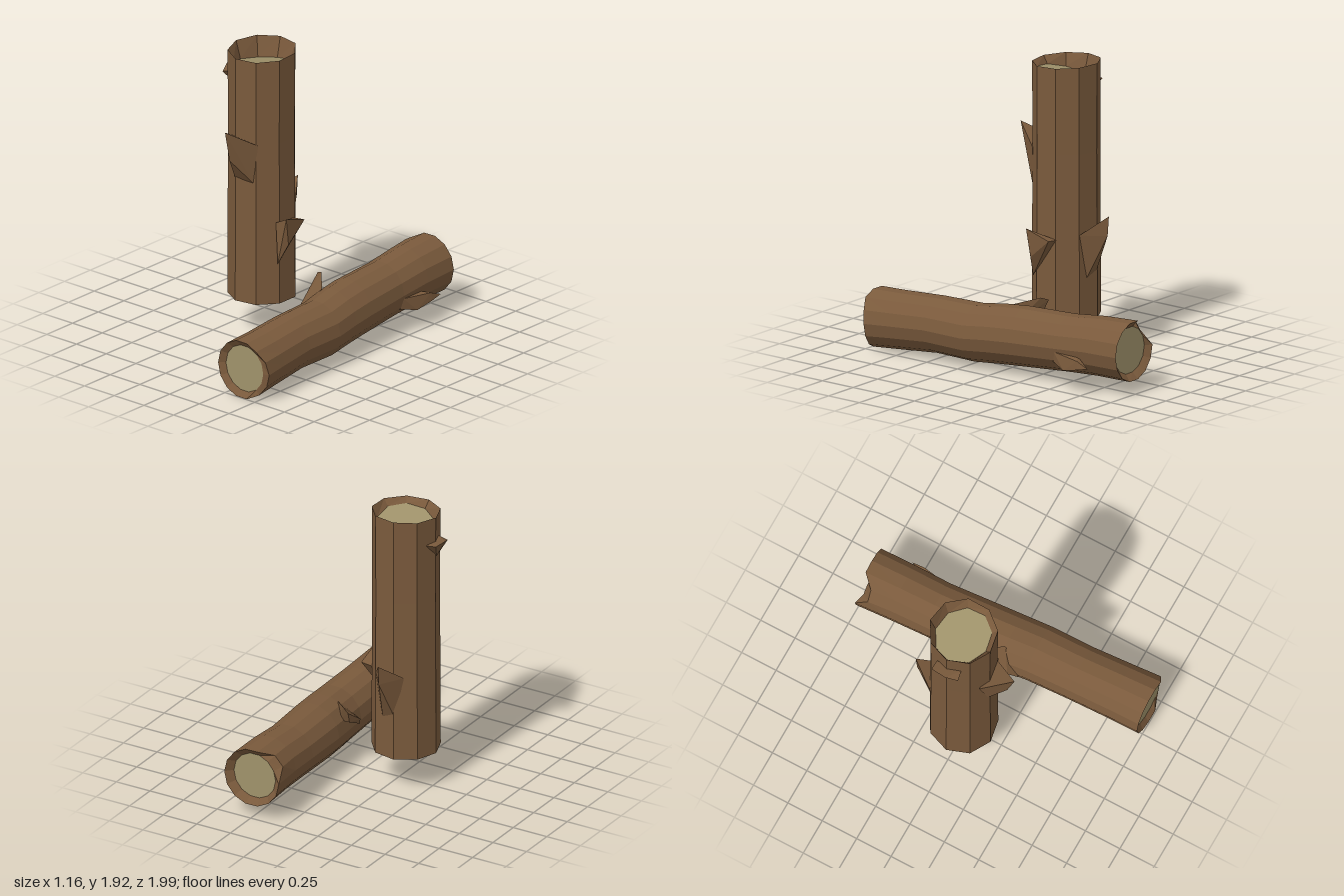
import * as THREE from 'three';
import { ConvexGeometry } from 'three/addons/geometries/ConvexGeometry.js';

const bark = new THREE.MeshStandardMaterial({ color: 0x7a5a3c, flatShading: true, side: THREE.DoubleSide });
const wood = new THREE.MeshStandardMaterial({ color: 0xa0936b, flatShading: true, side: THREE.DoubleSide });

// Point on a ring lying across the z axis: tilted by tx/ty, with optional chips in the edge
function ringPoint({ x = 0, y = 0, z, r, tx = 0, ty = 0, chip }, a) {
  const dx = r * Math.cos(a), dy = r * Math.sin(a);
  return [x + dx, y + dy, z + dx * tx + dy * ty + (chip ? chip(a) : 0)];
}

// Faceted skin through a list of rings; a ring with r = 0 closes to a point
function loft(name, material, rings, sides, offset = 0) {
  const pos = [];
  for (let k = 0; k < rings.length - 1; k++) {
    for (let i = 0; i < sides; i++) {
      const a0 = offset + (i / sides) * Math.PI * 2;
      const a1 = offset + ((i + 1) / sides) * Math.PI * 2;
      const p = ringPoint(rings[k], a0), q = ringPoint(rings[k], a1);
      const s = ringPoint(rings[k + 1], a1), t = ringPoint(rings[k + 1], a0);
      if (rings[k].r > 0) pos.push(...p, ...q, ...s);
      if (rings[k + 1].r > 0) pos.push(...p, ...s, ...t);
    }
  }
  const g = new THREE.BufferGeometry();
  g.setAttribute('position', new THREE.Float32BufferAttribute(pos, 3));
  g.computeVertexNormals();
  const mesh = new THREE.Mesh(g, material);
  mesh.name = name;
  return mesh;
}

// Broken branch stub as a small faceted hull
function stub(name, points) {
  const mesh = new THREE.Mesh(new ConvexGeometry(points.map((p) => new THREE.Vector3(...p))), bark);
  mesh.name = name;
  return mesh;
}

// Notch of a given depth centred on one angle
const notch = (centre, width, depth) => (a) => {
  const d = Math.abs(Math.atan2(Math.sin(a - centre), Math.cos(a - centre)));
  return d < width ? depth * (1 - 0.5 * d / width) : 0;
};

function standingLog() {
  const group = new THREE.Group();
  group.name = 'standingLog';

  // Hollow-ended trunk, built along z and then stood up
  const trunk = new THREE.Group();
  trunk.name = 'standingTrunk';
  const bottomCap = { z: 0.35, r: 0.165, tx: 0.15, ty: 0.15 };
  const topCap = { z: 1.835, r: 0.185, tx: 0.17, ty: -0.17 };
  const off = (-100 * Math.PI) / 180;
  trunk.add(
    loft('standingBark', bark, [
      bottomCap,
      { z: 0.25, r: 0.224 },
      { z: 0.75, r: 0.222 },
      { z: 1.35, r: 0.219 },
      { z: 1.922, r: 0.222, ty: 0.05 },
      topCap,
    ], 9, off),
    loft('standingTopWood', wood, [topCap, { z: 1.835, r: 0 }], 9, off),
    loft('standingBottomWood', wood, [{ z: 0.35, r: 0 }, bottomCap], 9, off),
  );
  trunk.rotation.x = -Math.PI / 2;
  trunk.position.x = -0.3;
  group.add(trunk);

  // Four broken stubs
  group.add(
    stub('frontStub', [[-0.295, 1.46, 0.37], [-0.3, 1.25, 0.32], [-0.415, 1.36, 0.18], [-0.18, 1.34, 0.18],
      [-0.35, 1.09, 0.21], [-0.205, 1.085, 0.2]]),
    stub('backStub', [[-0.3, 0.95, -0.345], [-0.3, 0.82, -0.335], [-0.4, 0.83, -0.19], [-0.19, 0.82, -0.19],
      [-0.34, 0.54, -0.205], [-0.25, 0.53, -0.205]]),
    stub('leftStub', [[-0.012, 0.855, 0.1], [-0.015, 0.8, -0.08], [-0.02, 0.67, 0.07], [-0.085, 0.53, 0.1],
      [-0.1, 0.81, 0.1], [-0.1, 0.79, -0.08]]),
    stub('rightStub', [[-0.57, 1.76, -0.08], [-0.58, 1.76, 0.02], [-0.55, 1.73, 0.1], [-0.515, 1.64, 0.02],
      [-0.5, 1.75, -0.08], [-0.49, 1.75, 0.09]]),
  );
  return group;
}

function lyingLog() {
  const group = new THREE.Group();
  group.name = 'lyingLog';
  const backCap = { x: 0.25, y: 0.295, z: -0.95, r: 0.155 };
  const frontCap = { x: 0.385, y: 0.205, z: 0.965, r: 0.157 };

  // Gently bent trunk with chipped rims
  group.add(
    loft('lyingBark', bark, [
      backCap,
      { x: 0.25, y: 0.295, z: -0.99, r: 0.198, tx: -0.04, chip: notch(2.5, 0.6, 0.1) },
      { x: 0.263, y: 0.29, z: -0.74, r: 0.193 },
      { x: 0.275, y: 0.272, z: -0.5, r: 0.187 },
      { x: 0.3, y: 0.258, z: -0.15, r: 0.195 },
      { x: 0.318, y: 0.247, z: 0.02, r: 0.194 },
      { x: 0.342, y: 0.23, z: 0.2, r: 0.19 },
      { x: 0.352, y: 0.232, z: 0.5, r: 0.185 },
      { x: 0.372, y: 0.215, z: 0.78, r: 0.19 },
      { x: 0.384, y: 0.204, z: 0.995, r: 0.196, chip: notch(-0.2, 0.8, -0.05) },
      frontCap,
    ], 14),
    loft('lyingFrontWood', wood, [frontCap, { ...frontCap, r: 0 }], 14),
    loft('lyingBackWood', wood, [{ ...backCap, r: 0 }, backCap], 14),
  );

  // Side stubs
  group.add(
    stub('upperStub', [[0.05, 0.44, -0.135], [0.1, 0.46, -0.11], [0.22, 0.42, 0.02], [0.06, 0.36, -0.1],
      [0.1, 0.29, 0.1], [0.14, 0.22, 0.16], [0.2, 0.3, 0]]),
    stub('sideStub', [[0.5, 0.2, -0.81], [0.495, 0.235, -0.72], [0.5, 0.18, -0.73], [0.485, 0.15, -0.6],
      [0.455, 0.25, -0.5], [0.44, 0.18, -0.48], [0.42, 0.25, -0.66], [0.42, 0.18, -0.66]]),
  );
  return group;
}

export function createModel() {
  const model = new THREE.Group();
  model.name = 'logs';
  model.add(standingLog(), lyingLog());
  return model;
}
